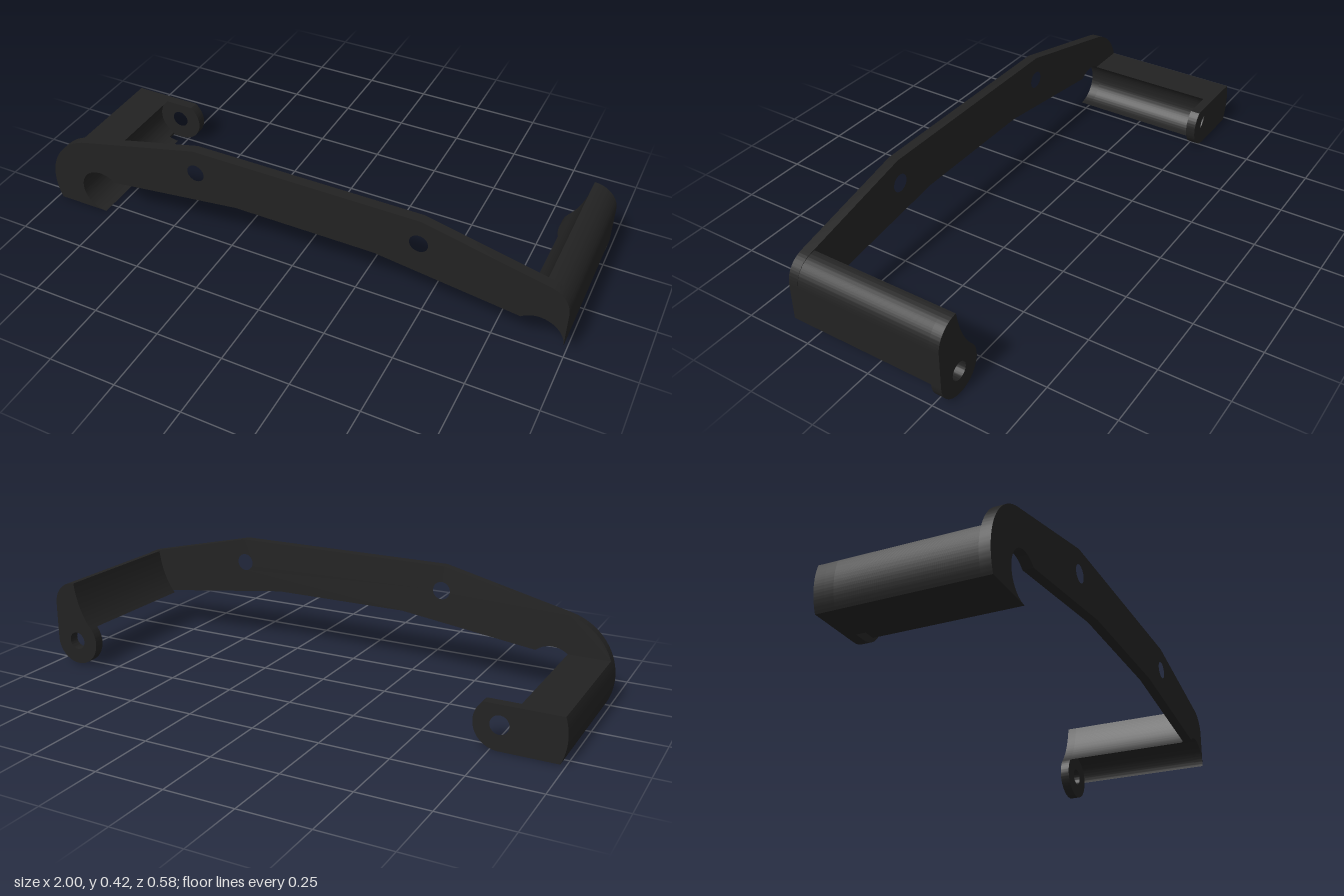
import * as THREE from 'three';
import { toCreasedNormals } from 'three/addons/utils/BufferGeometryUtils.js';

const material = new THREE.MeshStandardMaterial({ color: 0x222222 });
const rad = THREE.MathUtils.degToRad;

// pivot centres of the two hooks, and shared radii
const A = { x: -0.78, y: 0.09 };
const B = { x: 0.91, y: 0.09 };
const R = 0.09, OUTER = 0.22, HOLE = 0.033;
const ROOF = 0.16;
const BACK = -0.29, FRONT = 0.29, THICK = 0.037;

// arc by degrees; runs clockwise when the end angle is smaller
const arc = (s, c, r, from, to) => s.absarc(c.x, c.y, r, rad(from), rad(to), to < from);

function addHole(shape, x, y) {
  const hole = new THREE.Path();
  hole.absarc(x, y, HOLE, 0, Math.PI * 2, true);
  shape.holes.push(hole);
}

function slab(name, shape, z0, z1) {
  let geo = new THREE.ExtrudeGeometry(shape, { depth: z1 - z0, bevelEnabled: false, curveSegments: 28 });
  geo = toCreasedNormals(geo.translate(0, 0, z0), rad(30));
  const mesh = new THREE.Mesh(geo, material);
  mesh.name = name;
  return mesh;
}

// long bowed plate with a scooped hook at each end
function plateShape() {
  const s = new THREE.Shape();
  arc(s, A, OUTER, 204.2, 104);
  s.lineTo(-0.36, 0.418);
  s.lineTo(0.49, 0.418);
  arc(s, { x: 0.91, y: 0.23 }, 0.09, 76, 0);
  s.lineTo(1, 0.09);
  arc(s, B, R, 0, 132);
  s.lineTo(0.33, 0.225);
  s.lineTo(-0.2, 0.225);
  arc(s, A, R, 48, 270);
  s.closePath();
  addHole(s, -0.355, 0.325);
  addHole(s, 0.487, 0.325);
  return s;
}

// flat-topped arm section, hollowed around the pivot down to endAngle
function rightArmShape(endAngle) {
  const s = new THREE.Shape();
  arc(s, A, OUTER, 204.2, 161.4);
  arc(s, A, R, 129, endAngle);
  s.lineTo(A.x + R * Math.cos(rad(endAngle)), 0);
  s.closePath();
  return s;
}

// pivot ear with a flat top
function rightTabShape() {
  const s = new THREE.Shape();
  arc(s, A, OUTER, 204.2, 161.4);
  s.lineTo(A.x + 0.056, ROOF);
  arc(s, A, R, 51, -90);
  s.closePath();
  addHole(s, A.x, A.y);
  return s;
}

// rounded top and concave inner side, shared by the left arm and its ear
function leftShape(isTab) {
  const s = new THREE.Shape();
  s.moveTo(1, 0.09);
  s.lineTo(1, 0.23);
  arc(s, { x: 0.91, y: 0.228 }, 0.09, 0, 90);
  s.quadraticCurveTo(0.895, 0.21, B.x + R * Math.cos(rad(140)), B.y + R * Math.sin(rad(140)));
  if (isTab) {
    arc(s, B, R, 140, 360);
    addHole(s, B.x, B.y);
  } else {
    arc(s, B, R, 140, 0);
  }
  return s;
}

export function createModel() {
  const model = new THREE.Group();
  model.name = 'bracket';
  const plateBack = FRONT - THICK, tabFront = BACK + THICK;
  model.add(
    slab('frontPlate', plateShape(), plateBack, FRONT),
    slab('rightArm', rightArmShape(270), -0.22, plateBack),
    slab('rightArmNeck', rightArmShape(243.6), tabFront, -0.22),
    slab('rightTab', rightTabShape(), BACK, tabFront),
    slab('leftArm', leftShape(false), tabFront, plateBack),
    slab('leftTab', leftShape(true), BACK, tabFront),
  );
  return model;
}
